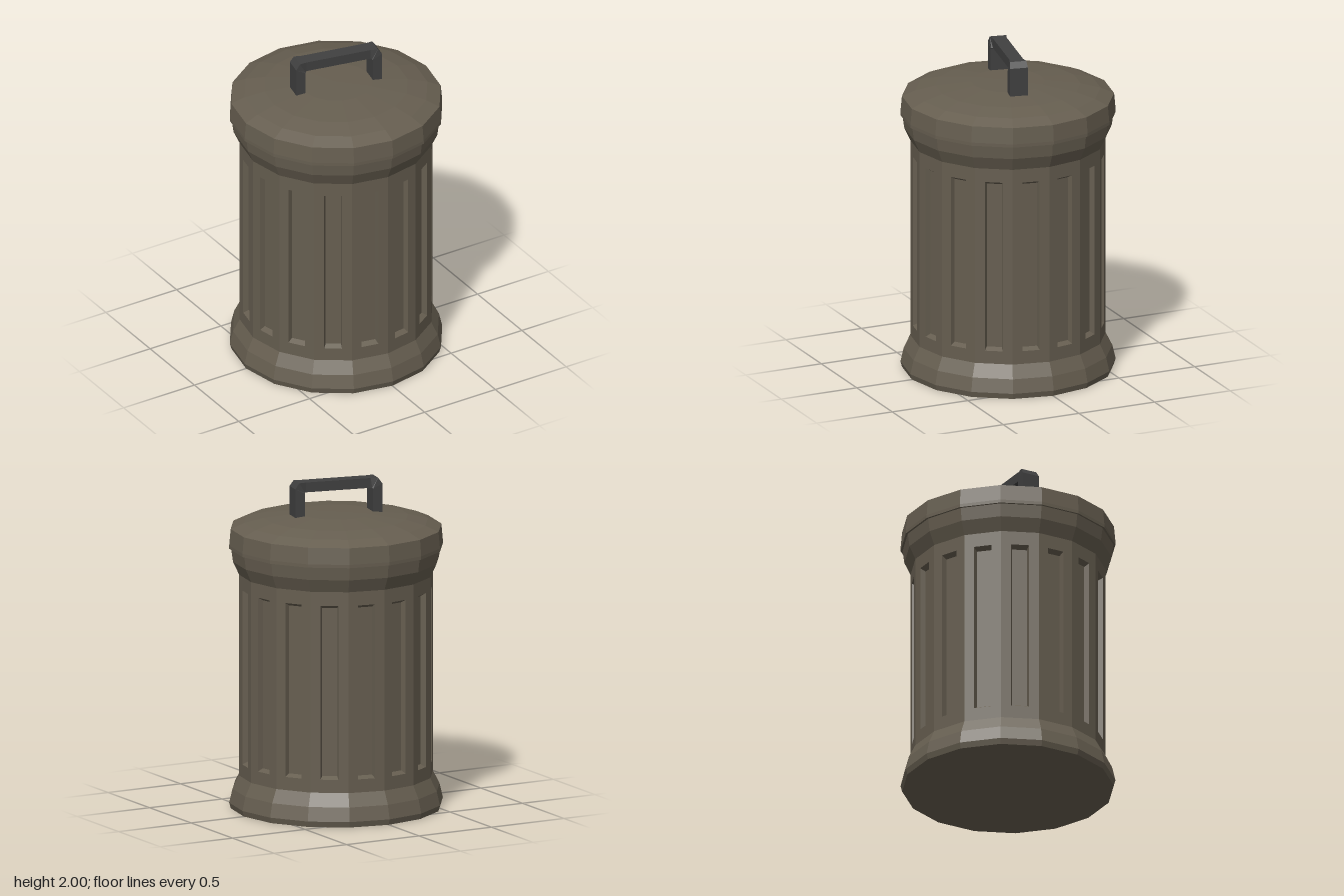
import * as THREE from 'three';
import { mergeGeometries } from 'three/addons/utils/BufferGeometryUtils.js';

const SIDES = 16;
const STEP = (Math.PI * 2) / SIDES;
const R = 0.585; // wall radius
const WALL_BOTTOM = 0.2, WALL_TOP = 1.43;

const metal = new THREE.MeshStandardMaterial({ color: 0x665e50, flatShading: true });
const dark = new THREE.MeshStandardMaterial({ color: 0x404040, flatShading: true });

// Skin a list of four-cornered loops, closing the last one if asked
function skin(loops, cap) {
  const pos = [];
  const quad = (a, b, c, d) => [a, b, c, a, c, d].forEach((p) => pos.push(...p));
  for (let k = 0; k + 1 < loops.length; k++) {
    for (let i = 0; i < 4; i++) {
      const j = (i + 1) % 4;
      quad(loops[k][i], loops[k][j], loops[k + 1][j], loops[k + 1][i]);
    }
  }
  if (cap) quad(...loops[loops.length - 1]);
  const g = new THREE.BufferGeometry();
  g.setAttribute('position', new THREE.Float32BufferAttribute(pos, 3));
  g.computeVertexNormals();
  return g;
}

function lathe(name, profile) {
  const pts = profile.map(([r, y]) => new THREE.Vector2(r, y));
  const mesh = new THREE.Mesh(new THREE.LatheGeometry(pts, SIDES), metal);
  mesh.name = name;
  return mesh;
}

// One wall facet with a bevelled vertical recess, facing +z
function wallFacet() {
  const front = R * Math.cos(STEP / 2);
  const rect = (w, y0, y1, z) => [[-w, y0, z], [w, y0, z], [w, y1, z], [-w, y1, z]];
  return skin([
    rect(R * Math.sin(STEP / 2), WALL_BOTTOM, WALL_TOP, front),
    rect(0.0535, 0.28, 1.345, front),
    rect(0.0455, 0.297, 1.326, front - 0.032),
  ], true);
}

// Bent bar handle with legs wider than the grip
function handleGeometry() {
  // outer x, outer y, inner x, inner y, half width
  const half = [
    [0.275, 1.76, 0.215, 1.76, 0.055],
    [0.275, 1.965, 0.215, 1.935, 0.055],
    [0.25, 2.0, 0.212, 1.94, 0.051],
    [0.205, 2.0, 0.205, 1.94, 0.042],
  ];
  const mirrored = half.map(([a, b, c, d, w]) => [-a, b, -c, d, w]).reverse();
  return skin([...half, ...mirrored].map(([ox, oy, ix, iy, w]) =>
    [[ox, oy, w], [ox, oy, -w], [ix, iy, -w], [ix, iy, w]]), false);
}

export function createModel() {
  const model = new THREE.Group();
  model.name = 'trashCan';

  // Flared foot with closed underside
  model.add(lathe('base', [[0, 0], [0.635, 0], [0.645, 0.035], [0.625, 0.12], [R, WALL_BOTTOM]]));

  // Recessed wall panels, one per side
  const facets = [];
  for (let i = 0; i < SIDES; i++) facets.push(wallFacet().rotateY((i + 0.5) * STEP));
  const wall = new THREE.Mesh(mergeGeometries(facets), metal);
  wall.name = 'wall';
  model.add(wall);

  // Flared rim under the lid
  model.add(lathe('rim', [[R, WALL_TOP], [0.622, 1.51], [0.634, 1.6]]));

  // Shallow domed lid
  model.add(lathe('lid', [
    [0, 1.59], [0.645, 1.59], [0.645, 1.61], [0.636, 1.71],
    [0.555, 1.745], [0.435, 1.774], [0.22, 1.797], [0, 1.8],
  ]));

  // Handle, turned half a side
  const handle = new THREE.Mesh(handleGeometry(), dark);
  handle.name = 'handle';
  handle.rotation.y = -STEP / 2;
  model.add(handle);

  return model;
}
